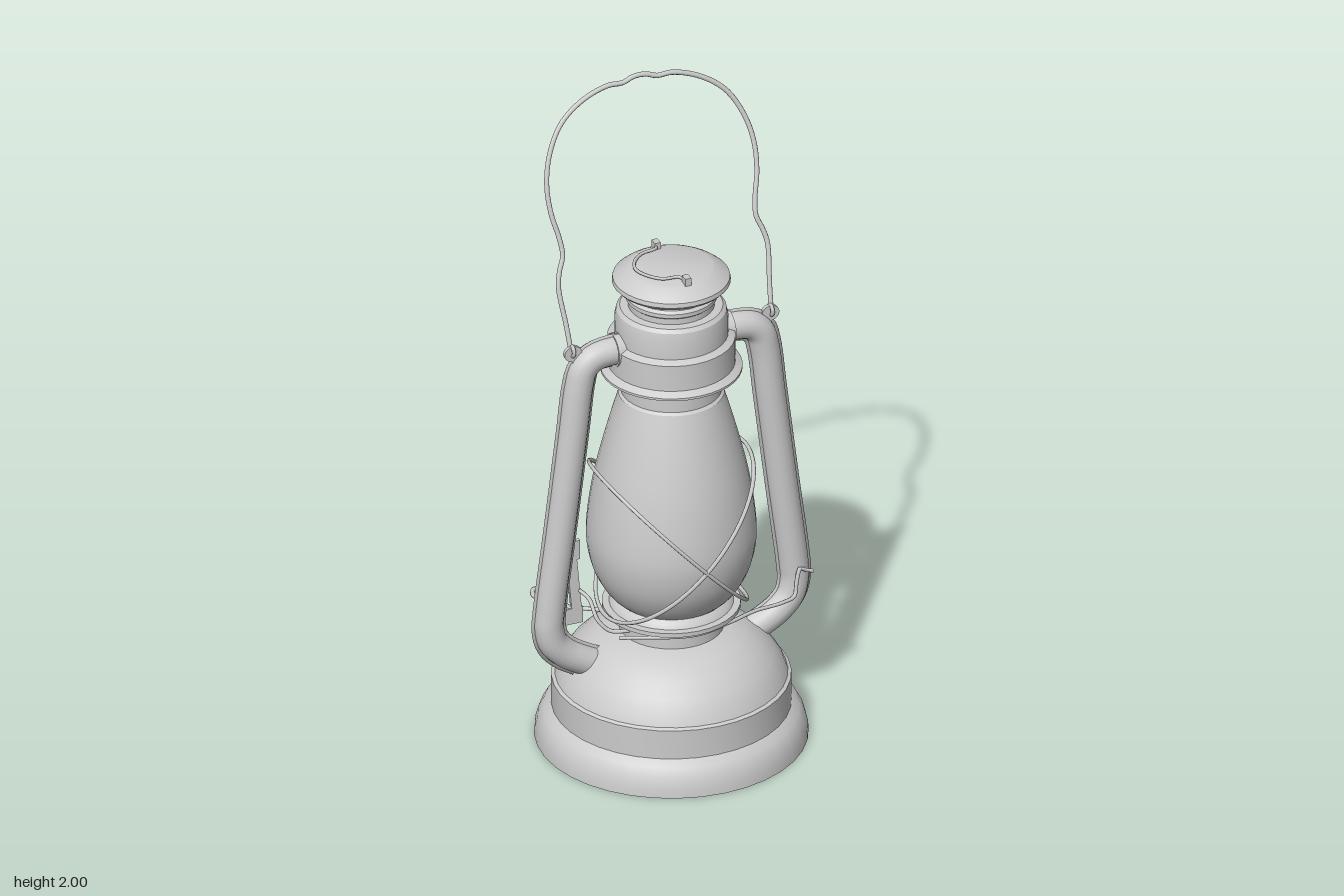
import * as THREE from 'three';
import { toCreasedNormals } from 'three/addons/utils/BufferGeometryUtils.js';

const mat = new THREE.MeshStandardMaterial({ color: 0xcccccc, side: THREE.DoubleSide });
const V = (p) => new THREE.Vector3(p[0], p[1], p[2] ?? 0);

function add(parent, name, geometry, pos = [0, 0, 0]) {
  const mesh = new THREE.Mesh(geometry, mat);
  mesh.name = name;
  mesh.position.set(...pos);
  parent.add(mesh);
  return mesh;
}

// Turned part from [radius, height] pairs, keeping hard steps sharp
function lathe(parent, name, profile, segments = 36) {
  const geo = new THREE.LatheGeometry(profile.map(([r, y]) => new THREE.Vector2(r, y)), segments);
  return add(parent, name, toCreasedNormals(geo, 0.5));
}

// Round wire or pipe through points
function wire(parent, name, points, radius, steps = 40, sides = 8, closed = false) {
  const curve = new THREE.CatmullRomCurve3(points.map(V), closed, 'centripetal');
  return add(parent, name, new THREE.TubeGeometry(curve, steps, radius, sides, closed));
}

// Cylinder laid between two points
function rod(parent, name, a, b, r1, r2 = r1, sides = 20) {
  const from = V(a), dir = V(b).sub(from);
  const mesh = add(parent, name, new THREE.CylinderGeometry(r2, r1, dir.length(), sides));
  mesh.position.copy(from).addScaledVector(dir, 0.5);
  mesh.quaternion.setFromUnitVectors(new THREE.Vector3(0, 1, 0), dir.normalize());
  return mesh;
}

export function createModel() {
  const model = new THREE.Group();
  model.name = 'lantern';

  // Fuel tank with stepped foot and dome
  lathe(model, 'fuelTank', [
    [0, 0], [0.385, 0], [0.383, 0.025], [0.375, 0.055], [0.36, 0.083], [0.337, 0.1],
    [0.337, 0.19], [0.327, 0.195], [0.315, 0.225], [0.29, 0.262], [0.255, 0.298],
    [0.21, 0.328], [0.165, 0.343], [0.148, 0.347], [0.148, 0.392], [0, 0.392],
  ]);

  // Burner, gallery plate and glass seat
  lathe(model, 'burnerPlate', [[0, 0.39], [0.12, 0.39], [0.12, 0.41], [0.195, 0.41], [0.195, 0.423], [0.13, 0.423]]);
  lathe(model, 'glassSeat', [[0.175, 0.424], [0.168, 0.437], [0.15, 0.45], [0.145, 0.47], [0.08, 0.47]]);
  lathe(model, 'burnerCone', [[0.1, 0.42], [0.095, 0.47], [0.06, 0.52], [0.02, 0.54]], 24);

  // Glass globe
  const globe = new THREE.SplineCurve([
    [0.15, 0.44], [0.185, 0.475], [0.22, 0.54], [0.238, 0.62], [0.237, 0.7], [0.22, 0.82],
    [0.195, 0.93], [0.168, 1.03], [0.147, 1.1],
  ].map(([r, y]) => new THREE.Vector2(r, y)));
  add(model, 'glassGlobe', new THREE.LatheGeometry(globe.getPoints(32), 40));
  lathe(model, 'globeCollar', [[0.15, 1.098], [0.142, 1.105], [0.142, 1.2]]);

  // Hood and chimney
  lathe(model, 'hood', [
    [0.14, 1.178], [0.2, 1.175], [0.2, 1.182], [0.18, 1.195], [0.18, 1.275], [0.16, 1.285],
    [0.16, 1.34], [0.155, 1.365], [0.145, 1.375], [0.122, 1.377], [0.122, 1.395],
    [0.128, 1.4], [0.128, 1.412], [0.12, 1.42], [0.105, 1.42], [0.105, 1.38],
  ]);

  // Vented cap on small tapered struts
  lathe(model, 'cap', [
    [0, 1.45], [0.13, 1.448], [0.158, 1.445], [0.167, 1.455], [0.165, 1.468],
    [0.148, 1.482], [0.125, 1.496], [0.115, 1.5], [0, 1.5],
  ]);
  for (let i = 0; i < 10; i++) {
    const a = (i / 10) * Math.PI * 2;
    const strut = add(model, 'capStrut', new THREE.CylinderGeometry(0.014, 0.034, 0.05, 4),
      [0.112 * Math.sin(a), 1.43, 0.112 * Math.cos(a)]);
    strut.scale.z = 0.2;
    strut.rotation.y = a;
  }
  // Curved pull wire on the cap
  wire(model, 'capWire', [
    [0, 1.505, -0.11], [-0.012, 1.51, -0.087], [-0.06, 1.51, -0.075], [-0.095, 1.51, -0.04],
    [-0.108, 1.51, 0], [-0.095, 1.51, 0.04], [-0.06, 1.51, 0.078], [-0.012, 1.51, 0.088], [0, 1.505, 0.11],
  ], 0.005, 40, 6);
  for (const z of [-0.11, 0.11]) add(model, 'capWireLug', new THREE.BoxGeometry(0.018, 0.024, 0.026), [0, 1.508, z]);

  // Side air tubes with a thin pressed seam, collars and bail ears
  for (const s of [-1, 1]) {
    const path = [
      [0.14, 1.265], [0.2, 1.265], [0.24, 1.256], [0.268, 1.23], [0.282, 1.18], [0.3, 1.03],
      [0.337, 0.73], [0.37, 0.47], [0.373, 0.415], [0.36, 0.365], [0.325, 0.325], [0.28, 0.296], [0.23, 0.27],
    ].map(([x, y]) => [s * x, y, 0]);
    const side = new THREE.Group();
    side.name = s > 0 ? 'leftAirTube' : 'rightAirTube';
    model.add(side);
    wire(side, 'tube', path, 0.043, 80, 16);
    wire(side, 'seam', path, 0.052, 80, 8).scale.z = 0.06;
    rod(side, 'tubeCollar', [s * 0.14, 1.265, 0], [s * 0.178, 1.265, 0], 0.049);
    const ear = rod(side, 'bailEar', [s * 0.3, 1.282, -0.006], [s * 0.3, 1.282, 0.006], 0.024);
    ear.scale.x = 1.1;
    add(side, 'bailEarStem', new THREE.BoxGeometry(0.036, 0.06, 0.012), [s * 0.285, 1.25, 0]);
    add(side, 'bailEye', new THREE.TorusGeometry(0.015, 0.006, 6, 16), [s * 0.302, 1.29, 0]).rotation.y = Math.PI / 2;
  }

  // Bail handle leaning backwards
  const half = [
    [0.304, 1.285], [0.309, 1.36], [0.318, 1.47], [0.309, 1.51], [0.294, 1.55], [0.298, 1.6],
    [0.313, 1.67], [0.315, 1.75], [0.295, 1.83], [0.25, 1.905], [0.18, 1.955], [0.1, 1.981],
    [0.05, 1.981], [0.025, 1.99],
  ].map(([x, y]) => [x, y, -0.325 * (y - 1.285)]);
  const bail = [...half, [0, 1.993, -0.23], ...half.slice().reverse().map(([x, y, z]) => [-x, y, z])];
  wire(model, 'bailHandle', bail, 0.0075, 140);

  // Crossed guard wires looped round the globe
  for (const s of [-1, 1]) {
    const loop = [];
    for (let i = 0; i < 24; i++) {
      const a = (i / 24) * Math.PI * 2;
      const x = 0.215 * Math.cos(a) + 0.01;
      loop.push([s * x, 0.64 + 1.06 * x, 0.257 * Math.sin(a)]);
    }
    wire(model, 'guardWire', loop, 0.006, 72, 6, true);
  }

  // Filler neck and cap on the back of the tank
  rod(model, 'fillerNeck', [0, 0.25, -0.25], [0, 0.3, -0.297], 0.03);
  rod(model, 'fillerCap', [0, 0.29, -0.286], [0, 0.322, -0.318], 0.037);

  // Wick adjuster with a ring key
  rod(model, 'wickRod', [-0.1, 0.36, -0.085], [-0.292, 0.345, -0.24], 0.006, 0.006, 8);
  const key = add(model, 'wickKey', new THREE.TorusGeometry(0.024, 0.005, 6, 20), [-0.292, 0.325, -0.24]);
  key.rotation.y = Math.atan2(-0.292, -0.24);

  // Globe lifter: lever plate, link wire and finger loop on the right
  add(model, 'leverPlate', new THREE.BoxGeometry(0.03, 0.2, 0.012), [-0.285, 0.53, -0.03]).rotation.z = 0.09;
  add(model, 'leverTab', new THREE.BoxGeometry(0.06, 0.05, 0.012), [-0.288, 0.42, -0.03]);
  add(model, 'leverHead', new THREE.BoxGeometry(0.022, 0.06, 0.012), [-0.278, 0.63, -0.03]);
  wire(model, 'leverLink', [
    [-0.27, 0.5, -0.03], [-0.25, 0.48, 0], [-0.24, 0.43, 0.04], [-0.21, 0.4, 0.06], [-0.16, 0.4, 0.08],
  ], 0.006, 30, 6);
  wire(model, 'fingerLoop', [
    [-0.29, 0.44, -0.03], [-0.315, 0.46, -0.05], [-0.335, 0.47, -0.08], [-0.355, 0.47, -0.065],
    [-0.382, 0.475, -0.085], [-0.375, 0.48, -0.108], [-0.35, 0.48, -0.108], [-0.338, 0.475, -0.09],
  ], 0.007, 40, 6);

  // Long catch wire hooked round the left tube
  wire(model, 'catchWire', [
    [-0.2, 0.395, 0.1], [0, 0.397, 0.17], [0.12, 0.397, 0.14], [0.21, 0.395, 0.105], [0.3, 0.39, 0.085],
    [0.345, 0.395, 0.07], [0.355, 0.43, 0.06], [0.37, 0.47, 0.052], [0.385, 0.46, 0.05], [0.41, 0.45, 0.048],
  ], 0.006, 60, 6);

  return model;
}
